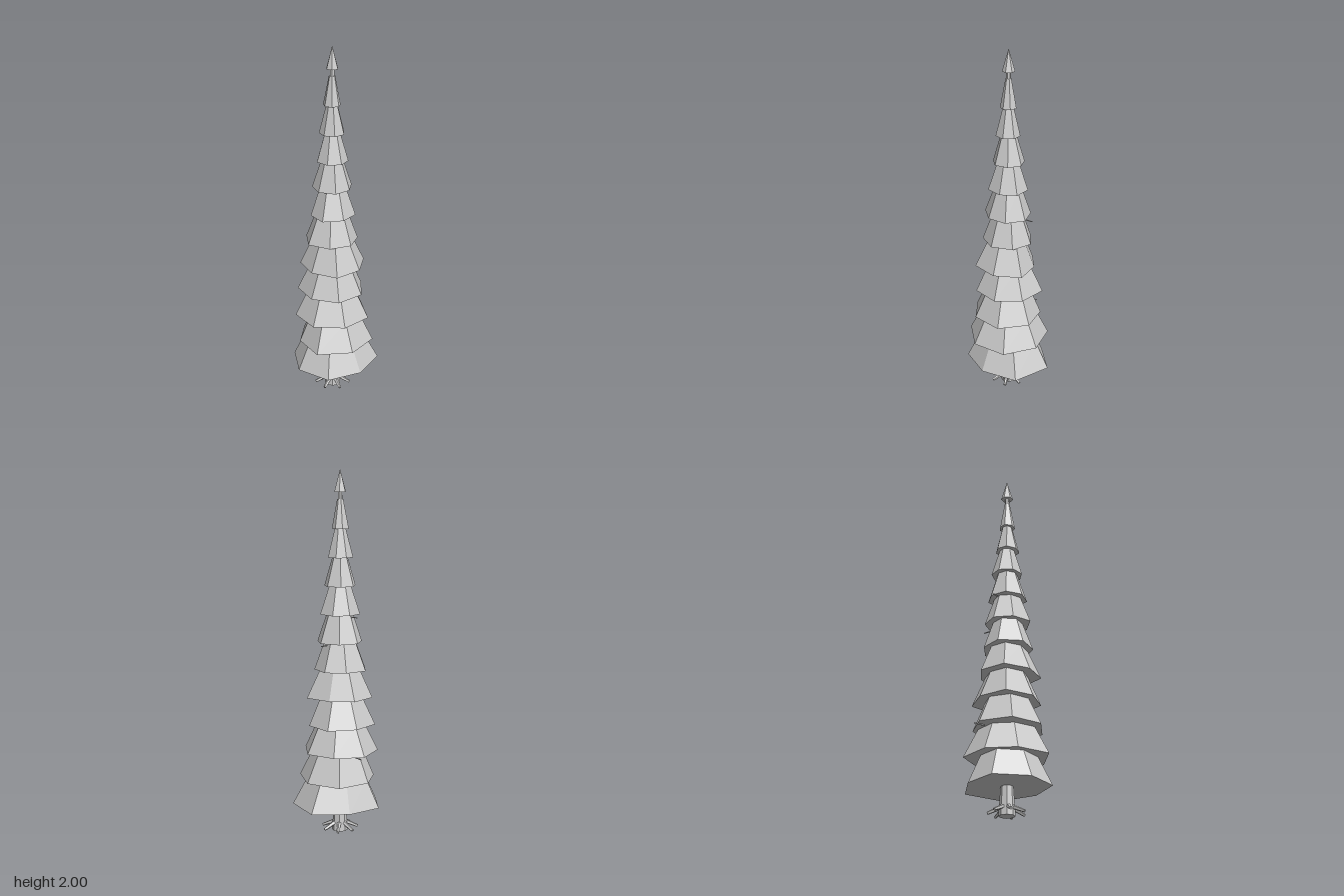
import * as THREE from 'three';

const CX = -0.02, CZ = -0.005; // trunk axis
const STEP = 0.153;
const material = new THREE.MeshStandardMaterial({ color: 0xcccccc, flatShading: true });

// Each tier: angle of its first corner (degrees, +x towards +z), top/bottom ratio, corner radii
const TIERS = [
  [-6.7, 0.68, [0.262, 0.22, 0.236, 0.227, 0.235, 0.21, 0.258]],
  [9, 0.66, [0.23, 0.224, 0.232, 0.193, 0.2, 0.228, 0.223]],
  [18.6, 0.64, [0.21, 0.2, 0.205, 0.21, 0.203, 0.182, 0.2]],
  [27.8, 0.62, [0.18, 0.185, 0.178, 0.195, 0.175, 0.195, 0.178]],
  [31, 0.6, [0.172, 0.186, 0.165, 0.18, 0.165, 0.148, 0.187]],
  [-7, 0.6, [0.14, 0.14, 0.142, 0.155, 0.152, 0.132, 0.14]],
  [10, 0.57, [0.127, 0.125, 0.137, 0.122, 0.125, 0.122, 0.13]],
  [-22, 0.53, [0.112, 0.105, 0.112, 0.11, 0.11, 0.105, 0.108]],
  [5, 0.48, [0.086, 0.088, 0.086, 0.087, 0.088, 0.087, 0.09]],
  [28, 0.43, [0.07, 0.07, 0.067, 0.071, 0.066, 0.064, 0.068]],
  [-10, 0.36, [0.044, 0.046, 0.045, 0.048, 0.05, 0.042, 0.046]],
];

// Closed, faceted skirt of foliage with irregular corners
function skirtGeometry(phase, ratio, radii, height) {
  const n = radii.length;
  const pos = [];
  const corner = (i, top) => {
    const a = THREE.MathUtils.degToRad(phase) + ((i % n) / n) * Math.PI * 2;
    const r = radii[i % n] * (top ? ratio : 1);
    return [Math.cos(a) * r, top ? height : 0, Math.sin(a) * r];
  };
  for (let i = 0; i < n; i++) {
    const b0 = corner(i, false), b1 = corner(i + 1, false);
    const t0 = corner(i, true), t1 = corner(i + 1, true);
    pos.push(...b0, ...t0, ...b1, ...t0, ...t1, ...b1);
    pos.push(0, 0, 0, ...b0, ...b1, 0, height, 0, ...t1, ...t0);
  }
  const g = new THREE.BufferGeometry();
  g.setAttribute('position', new THREE.Float32BufferAttribute(pos, 3));
  g.computeVertexNormals();
  return g;
}

// Tapered limb between two points
function limb(name, from, to, r0, r1, sides) {
  const a = new THREE.Vector3(...from), b = new THREE.Vector3(...to);
  const dir = b.clone().sub(a);
  const mesh = new THREE.Mesh(new THREE.CylinderGeometry(r1, r0, dir.length(), sides), material);
  mesh.name = name;
  mesh.position.copy(a).add(b).multiplyScalar(0.5);
  mesh.quaternion.setFromUnitVectors(new THREE.Vector3(0, 1, 0), dir.normalize());
  return mesh;
}

export function createModel() {
  const tree = new THREE.Group();
  tree.name = 'conifer';
  const body = new THREE.Group();
  body.name = 'tree';
  body.position.set(CX, 0, CZ);
  tree.add(body);

  // Trunk and the thin leader below the tip
  body.add(limb('trunk', [0, 0, 0], [0, 0.2, 0], 0.044, 0.031, 8));
  body.add(limb('leader', [0, 1.7, 0], [0, 1.9, 0], 0.016, 0.012, 6));

  // Splayed roots
  for (let i = 0; i < 7; i++) {
    const a = 0.25 + (i / 7) * Math.PI * 2;
    const c = Math.cos(a), s = Math.sin(a);
    body.add(limb('root', [c * 0.02, 0.052, s * 0.02], [c * 0.1, 0.016, s * 0.1], 0.013, 0.008, 5));
  }

  // Stacked foliage
  TIERS.forEach(([phase, ratio, radii], i) => {
    const tier = new THREE.Mesh(skirtGeometry(phase, ratio, radii, STEP + 0.004), material);
    tier.name = 'foliageTier';
    tier.position.y = 0.155 + i * STEP;
    body.add(tier);
  });

  // Pointed tip
  const tip = new THREE.Mesh(new THREE.ConeGeometry(0.034, 0.12, 6), material);
  tip.name = 'tip';
  tip.position.y = 1.94;
  body.add(tip);

  // Small twigs poking out below the skirts
  for (const [x, y, z] of [[-0.13, 0.455, -0.168], [0.09, 1.065, -0.125], [-0.098, 1.215, -0.075]]) {
    body.add(limb('twig', [x * 0.7, y, z * 0.7], [x, y, z], 0.004, 0.003, 4));
  }
  return tree;
}
